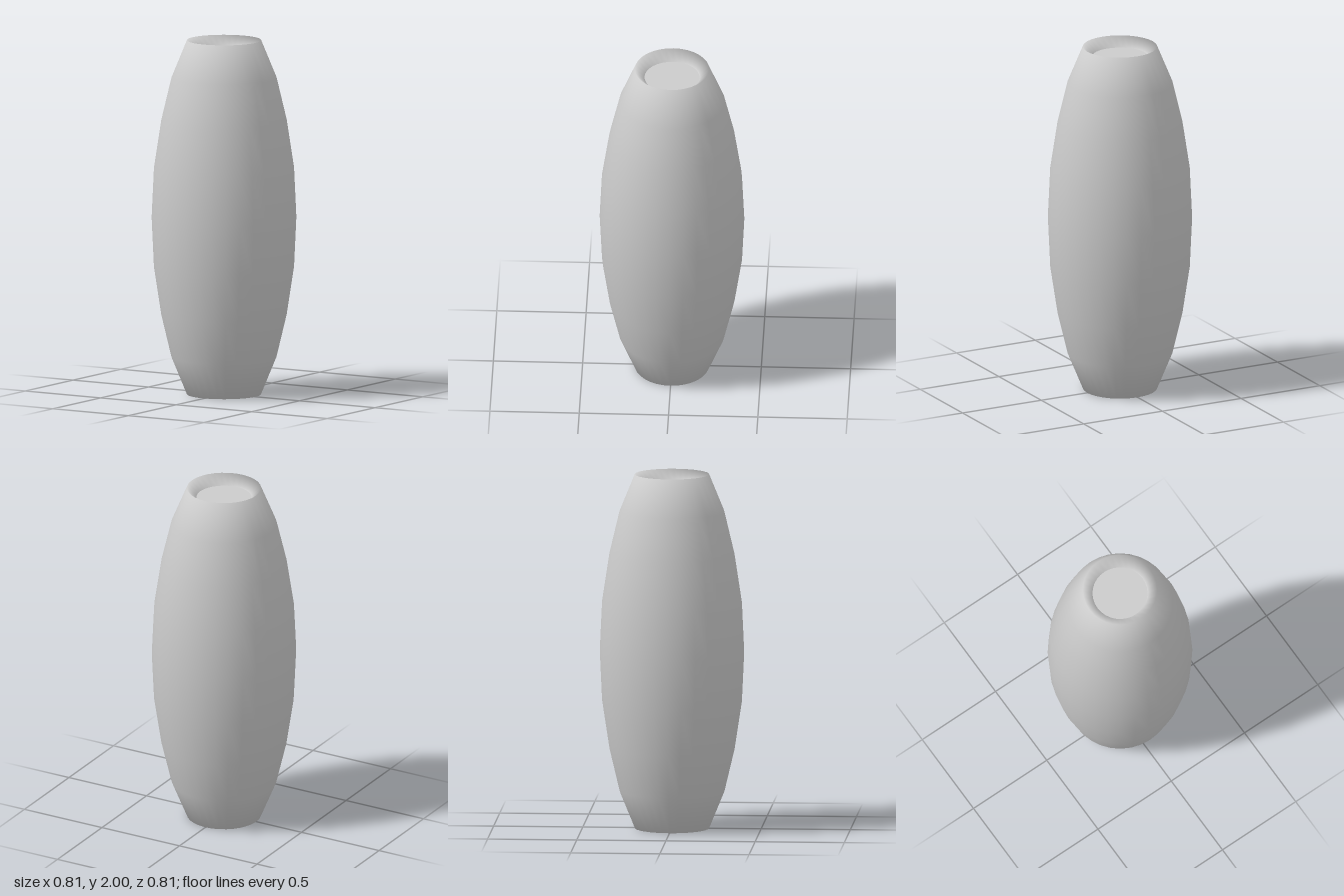
import * as THREE from 'three';

const SIDES = 32;
const HALF = 1; // half the height
const RECESS = { radius: 0.154, depth: 0.055 };

// Half profile from the waist up to the rim, as [radius, height above the waist]
const UPPER = [[0.392, 0.28], [0.351, 0.55], [0.294, 0.79], [0.208, HALF], [RECESS.radius, HALF - RECESS.depth]];

export function createModel() {
  const group = new THREE.Group();
  group.name = 'barrelBead';
  const material = new THREE.MeshStandardMaterial({ color: 0xcccccc });

  // Barrel body, mirrored about its waist, with the sloping recess walls included
  const profile = [
    ...UPPER.map(([r, h]) => new THREE.Vector2(r, HALF - h)).reverse(),
    new THREE.Vector2(0.405, HALF),
    ...UPPER.map(([r, h]) => new THREE.Vector2(r, HALF + h)),
  ];
  const body = new THREE.Mesh(new THREE.LatheGeometry(profile, SIDES), material);
  body.name = 'body';
  group.add(body);

  // Flat discs closing the recess at each end
  for (const [name, side] of [['topCap', 1], ['bottomCap', -1]]) {
    const cap = new THREE.Mesh(new THREE.CircleGeometry(RECESS.radius, SIDES), material);
    cap.name = name;
    cap.rotation.x = -side * Math.PI / 2;
    cap.position.y = HALF + side * (HALF - RECESS.depth);
    group.add(cap);
  }
  return group;
}
